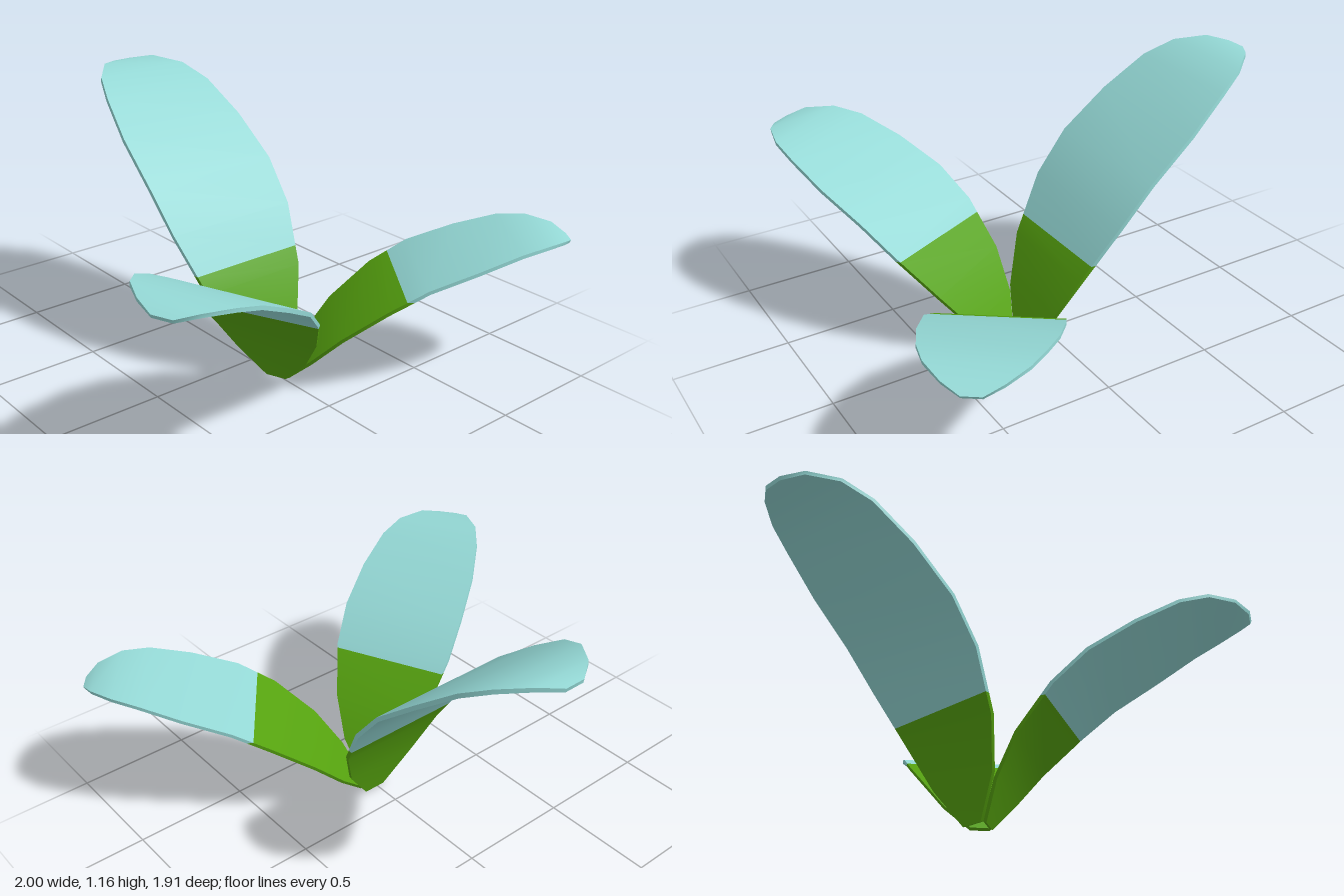
import * as THREE from 'three';
import { toCreasedNormals } from 'three/addons/utils/BufferGeometryUtils.js';

// Petal stations: distance along the chord, rise above it, half width
const STATIONS = [
  [0, 0, 0.05], [0.16, 0.079, 0.17], [0.363, 0.157, 0.25], [0.63, 0.212, 0.31],
  [0.853, 0.226, 0.323], [1.107, 0.193, 0.31], [1.325, 0.155, 0.27],
  [1.452, 0.109, 0.22], [1.546, 0.048, 0.13], [1.577, 0, 0.045],
];
const HALF_THICKNESS = 0.009;
const COLOR_LINE = 0.46; // height where green turns to blue

// Faces of one thin curved petal, placed in the model
function petalFaces({ base, yaw, elevation, roll, scale }) {
  const rad = THREE.MathUtils.degToRad;
  const matrix = new THREE.Matrix4().compose(
    new THREE.Vector3(...base),
    new THREE.Quaternion().setFromEuler(new THREE.Euler(-rad(elevation), rad(yaw), rad(roll), 'YXZ')),
    new THREE.Vector3(scale, scale, scale),
  );
  const last = STATIONS.length - 1;
  const rings = STATIONS.map(([d, h, w], i) => {
    const a = STATIONS[Math.max(i - 1, 0)], b = STATIONS[Math.min(i + 1, last)];
    const slope = new THREE.Vector2(b[0] - a[0], b[1] - a[1]).normalize();
    const ny = slope.x * HALF_THICKNESS, nz = -slope.y * HALF_THICKNESS;
    return [[-w, 1], [w, 1], [w, -1], [-w, -1]].map(([x, side]) =>
      new THREE.Vector3(x, h + side * ny, d + side * nz).applyMatrix4(matrix));
  });
  const faces = [rings[0], [...rings[last]].reverse()];
  for (let i = 0; i < last; i++) {
    for (let k = 0; k < 4; k++) {
      const n = (k + 1) % 4;
      faces.push([rings[i][k], rings[i + 1][k], rings[i + 1][n], rings[i][n]]);
    }
  }
  return faces;
}

// Keep the part of a face above (sign 1) or below (sign -1) the colour line
function clipFace(face, sign) {
  const out = [];
  face.forEach((p, i) => {
    const q = face[(i + 1) % face.length];
    const dp = sign * (p.y - COLOR_LINE), dq = sign * (q.y - COLOR_LINE);
    if (dp >= 0) out.push(p);
    if (dp * dq < 0) out.push(p.clone().lerp(q, dp / (dp - dq)));
  });
  return out;
}

function facesToGeometry(faces) {
  const positions = [];
  for (const f of faces) {
    for (let i = 1; i < f.length - 1; i++) {
      for (const p of [f[0], f[i], f[i + 1]]) positions.push(p.x, p.y, p.z);
    }
  }
  const geometry = new THREE.BufferGeometry();
  geometry.setAttribute('position', new THREE.Float32BufferAttribute(positions, 3));
  return toCreasedNormals(geometry, 0.7);
}

export function createModel() {
  const blue = new THREE.MeshStandardMaterial({ color: 0x94d8d5 });
  blue.name = 'paleBlue';
  const green = new THREE.MeshStandardMaterial({ color: 0x56a30f });
  green.name = 'leafGreen';

  // Three petals of one shape, differing in size, direction and lift
  const petals = {
    backPetal: { base: [0.02, 0.015, 0.13], yaw: 180, elevation: 46, roll: 0, scale: 1 },
    rightPetal: { base: [-0.01, 0.015, 0.185], yaw: -59.5, elevation: 35.5, roll: -4.5, scale: 0.88 },
    leftPetal: { base: [0.04, 0.012, 0.19], yaw: 53.5, elevation: 27.6, roll: 0, scale: 0.825 },
  };

  const model = new THREE.Group();
  model.name = 'flower';
  for (const [name, placement] of Object.entries(petals)) {
    const faces = petalFaces(placement);
    const petal = new THREE.Group();
    petal.name = name;
    for (const [part, sign, material] of [['petalBase', -1, green], ['petalBlade', 1, blue]]) {
      const mesh = new THREE.Mesh(facesToGeometry(faces.map((f) => clipFace(f, sign))), material);
      mesh.name = part;
      petal.add(mesh);
    }
    model.add(petal);
  }
  return model;
}
